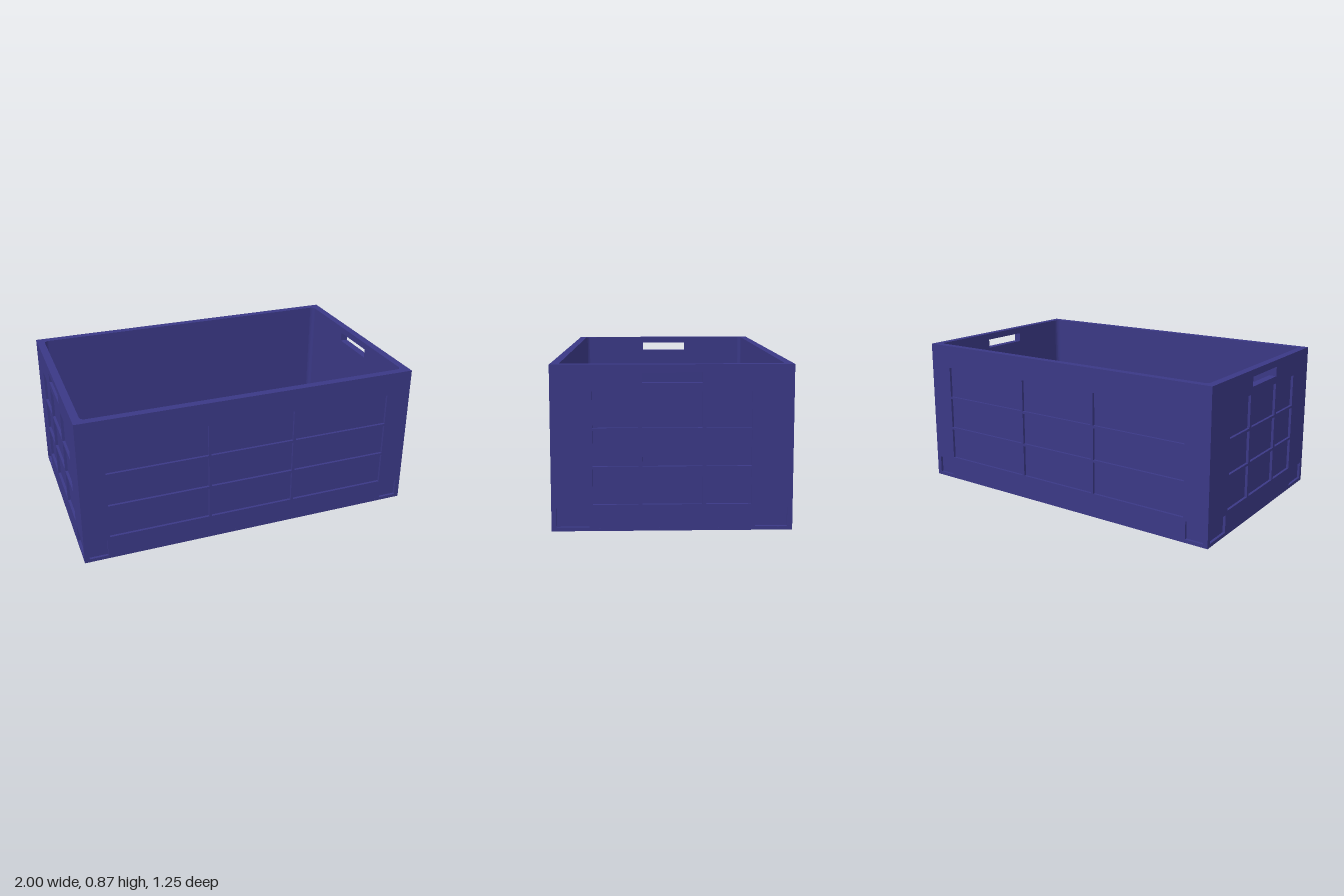
import * as THREE from 'three';

const HX = 1, HZ = 0.625, TOP = 0.865, FLOOR = 0.015;
const SKIN = 0.015, WALL = 0.045;
const ROWS = [[0.14, 0.327], [0.341, 0.527], [0.541, 0.728]];
const HANDLE = [-0.155, 0.155, 0.77, 0.825];

function rect(PathType, [x0, x1, y0, y1]) {
  return new PathType([[x0, y0], [x1, y0], [x1, y1], [x0, y1]].map(p => new THREE.Vector2(...p)));
}

// Walls lean inwards very slightly towards the rim
function taper(geometry) {
  const p = geometry.attributes.position;
  for (let i = 0; i < p.count; i++) {
    const inset = 0.006 * p.getY(i) / TOP;
    p.setX(i, p.getX(i) * (1 - inset));
    p.setZ(i, p.getZ(i) * (1 - inset / HZ));
  }
  geometry.computeVertexNormals();
  return geometry;
}

// Upright slab with rectangular holes, its outer face at the given distance
function slab(halfWidth, holes, depth, distance, turn) {
  const shape = rect(THREE.Shape, [-halfWidth, halfWidth, FLOOR, TOP]);
  shape.holes = holes.map(h => rect(THREE.Path, h));
  const g = new THREE.ExtrudeGeometry(shape, { depth, bevelEnabled: false });
  g.translate(0, 0, distance - depth);
  g.rotateY(turn);
  return taper(g);
}

// Grid of recessed windows plus the two low corner recesses
function recesses(columns, footIn, footOut) {
  const list = [];
  for (const [a, b] of columns) for (const [y0, y1] of ROWS) list.push([a, b, y0, y1]);
  list.push([footIn, footOut, 0.02, 0.122], [-footOut, -footIn, 0.02, 0.122]);
  return list;
}

export function createModel() {
  const crate = new THREE.Group();
  crate.name = 'crate';
  const material = new THREE.MeshStandardMaterial({ color: 0x3a3885 });
  const add = (parent, name, geometry) => {
    const mesh = new THREE.Mesh(geometry, material);
    mesh.name = name;
    parent.add(mesh);
    return mesh;
  };

  // Base plate and raised inner floor
  add(crate, 'basePlate', new THREE.BoxGeometry(2 * HX, FLOOR, 2 * HZ)).position.y = FLOOR / 2;
  add(crate, 'innerFloor', new THREE.BoxGeometry(2 * (HX - WALL), 0.02, 2 * (HZ - WALL)))
    .position.y = FLOOR + 0.01;

  const longHoles = recesses([[-0.85, -0.265], [-0.25, 0.25], [0.265, 0.85]], 0.865, 0.972);
  const endHoles = recesses([[-0.41, -0.175], [-0.155, 0.155], [0.175, 0.41]], 0.43, 0.598);

  // Long walls: a skin with openings over a solid backing
  for (const [name, turn] of [['frontWall', 0], ['backWall', Math.PI]]) {
    const wall = new THREE.Group();
    wall.name = name;
    add(wall, 'windowSkin', slab(HX, longHoles, SKIN, HZ, turn));
    add(wall, 'backing', slab(HX - SKIN, [], WALL - SKIN, HZ - SKIN, turn));
    crate.add(wall);
  }

  // End walls: the same, with a hand hole right through
  for (const [name, turn] of [['leftWall', Math.PI / 2], ['rightWall', -Math.PI / 2]]) {
    const wall = new THREE.Group();
    wall.name = name;
    add(wall, 'windowSkin', slab(HZ - SKIN, [...endHoles, HANDLE], SKIN, HX, turn));
    add(wall, 'backing', slab(HZ - WALL, [HANDLE], WALL - SKIN, HX - SKIN, turn));
    crate.add(wall);
  }

  // Rounded fillets in the four inner corners
  const r = 0.025;
  for (const sx of [-1, 1]) for (const sz of [-1, 1]) {
    const cx = sx * (HX - WALL), cz = sz * (HZ - WALL);
    const shape = new THREE.Shape();
    shape.moveTo(cx, -cz);
    shape.lineTo(cx - sx * r, -cz);
    shape.quadraticCurveTo(cx - sx * r * 0.15, -cz + sz * r * 0.15, cx, -cz + sz * r);
    shape.closePath();
    const g = new THREE.ExtrudeGeometry(shape, { depth: TOP - FLOOR, bevelEnabled: false, curveSegments: 6 });
    g.rotateX(-Math.PI / 2);
    g.translate(0, FLOOR, 0);
    add(crate, 'cornerFillet', taper(g));
  }
  return crate;
}
